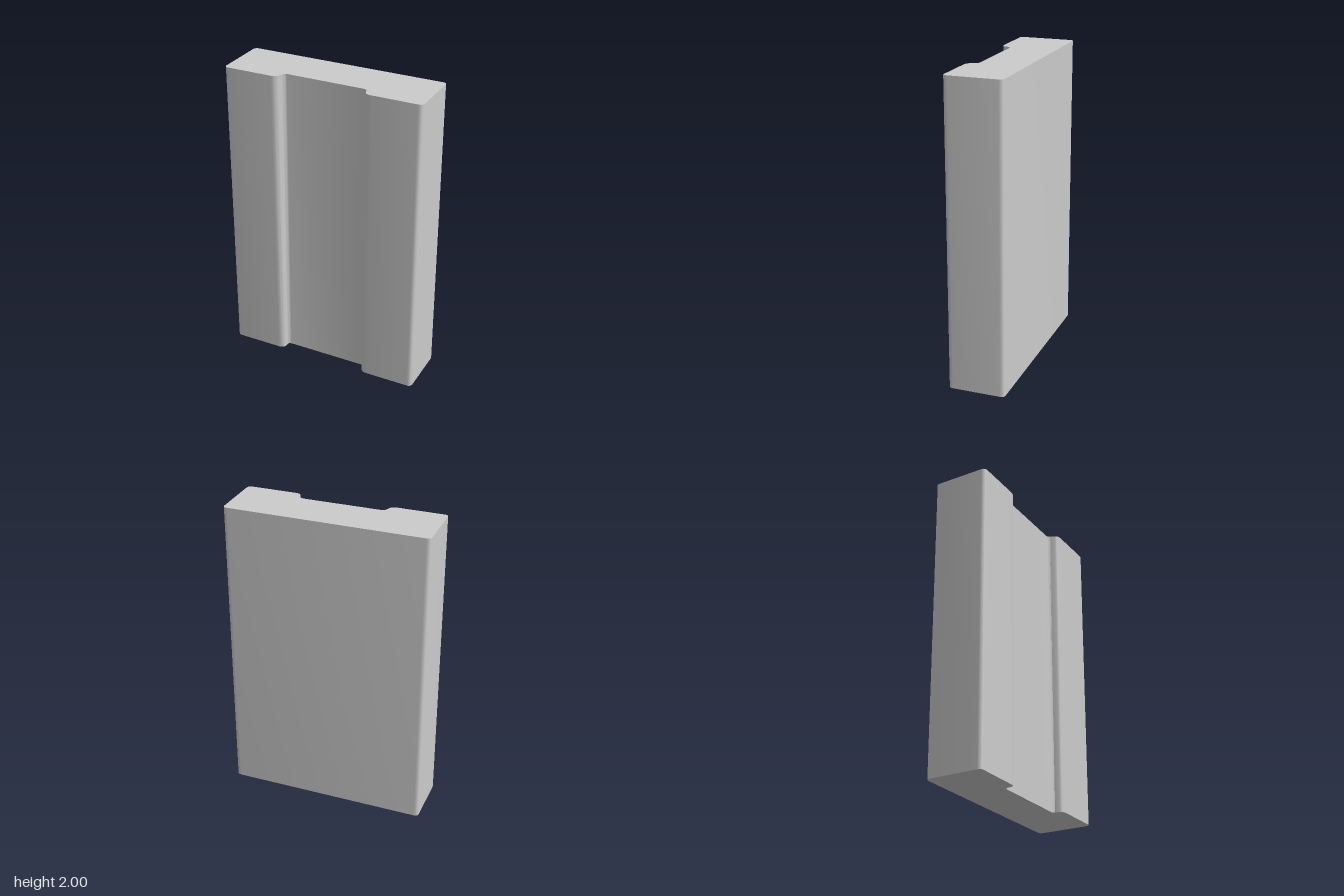
import * as THREE from 'three';
import { toCreasedNormals } from 'three/addons/utils/BufferGeometryUtils.js';

const WIDTH = 0.66, BACK = 0.19, FRONT = -0.185, FLOOR = -0.115, R = 0.03;
const HEIGHT = 2;

// Plan outline (shape y = -z): rounded slab with a channel along the front face
function slabShape() {
  const s = new THREE.Shape();
  s.moveTo(-WIDTH + R, FRONT);
  s.lineTo(-0.335, FRONT);
  s.quadraticCurveTo(-0.3, FRONT, -0.292, -0.16);
  s.lineTo(-0.282, -0.136);
  s.quadraticCurveTo(-0.275, FLOOR, -0.25, FLOOR);
  s.lineTo(0.25, FLOOR);
  s.quadraticCurveTo(0.275, FLOOR, 0.282, -0.136);
  s.lineTo(0.292, -0.16);
  s.quadraticCurveTo(0.3, FRONT, 0.335, FRONT);
  s.lineTo(WIDTH - R, FRONT);
  s.quadraticCurveTo(WIDTH, FRONT, WIDTH, FRONT + R);
  s.lineTo(WIDTH, BACK - R);
  s.quadraticCurveTo(WIDTH, BACK, WIDTH - R, BACK);
  s.lineTo(-WIDTH + R, BACK);
  s.quadraticCurveTo(-WIDTH, BACK, -WIDTH, BACK - R);
  s.lineTo(-WIDTH, FRONT + R);
  s.quadraticCurveTo(-WIDTH, FRONT, -WIDTH + R, FRONT);
  return s;
}

export function createModel() {
  const group = new THREE.Group();
  group.name = 'groovedSlab';

  const geometry = new THREE.ExtrudeGeometry(slabShape(), {
    depth: HEIGHT, bevelEnabled: false, curveSegments: 6,
  });
  geometry.rotateX(-Math.PI / 2);

  // The channel floor widens slightly towards the bottom, so its walls become steeper
  const p = geometry.attributes.position;
  for (let i = 0; i < p.count; i++) {
    const x = p.getX(i), z = p.getZ(i);
    if (Math.abs(x) < 0.3 && z > 0.11) {
      const depth = THREE.MathUtils.clamp((0.16 - z) / 0.03, 0, 1);
      p.setX(i, x + Math.sign(x) * 0.012 * depth * (1 - p.getY(i) / HEIGHT));
    }
  }

  const slab = new THREE.Mesh(
    toCreasedNormals(geometry, Math.PI / 6),
    new THREE.MeshStandardMaterial({ color: 0xcccccc }),
  );
  slab.name = 'slab';
  group.add(slab);
  return group;
}
